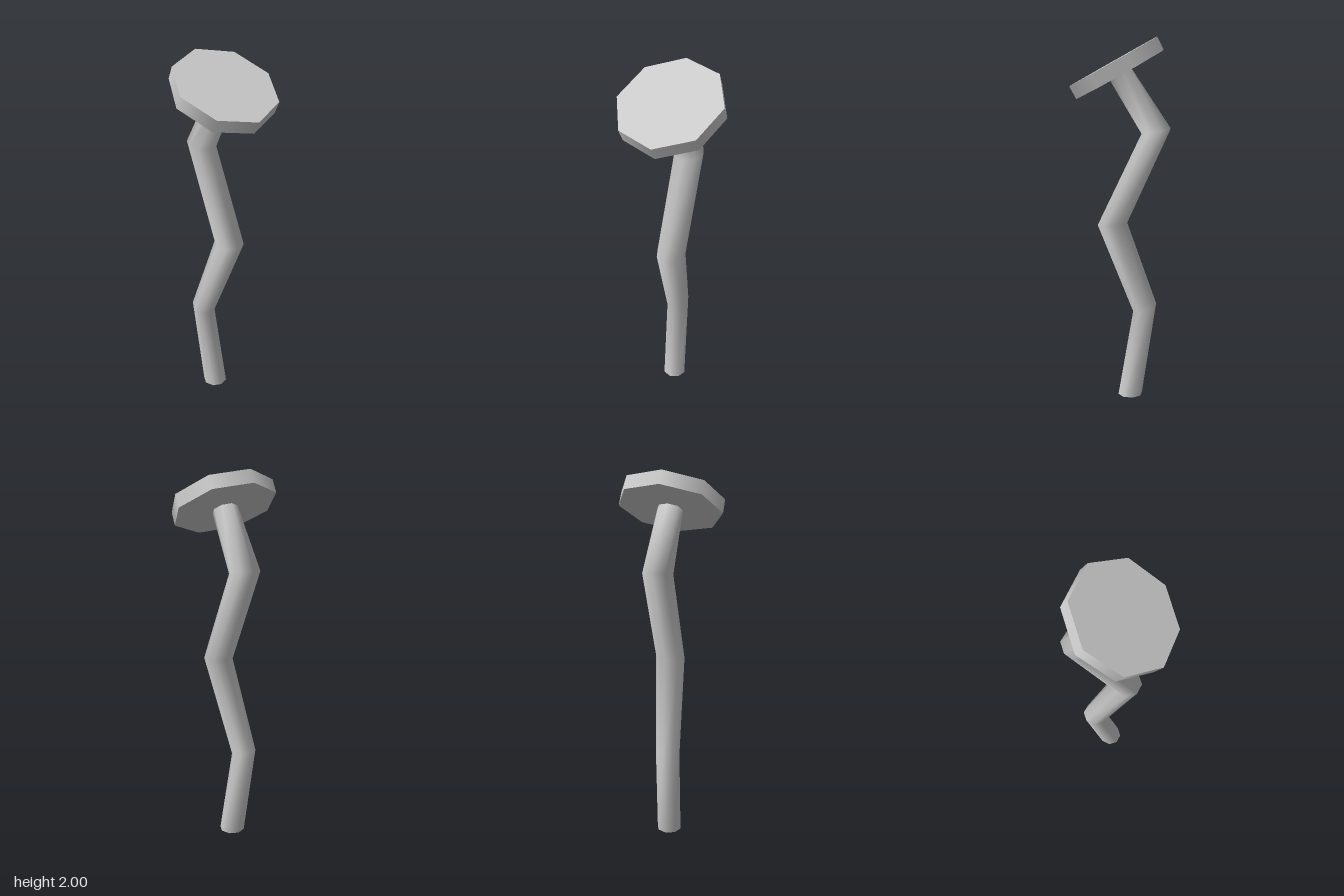
import * as THREE from 'three';

const SIDES = 8;
const material = new THREE.MeshStandardMaterial({ color: 0xcccccc });

// Axes of the tilted head: across, depth and its normal
const across = new THREE.Vector3(0.944, -0.307, -0.126).normalize();
const depth = new THREE.Vector3(0, -0.38, 0.923).normalize();
const normal = new THREE.Vector3().crossVectors(depth, across).normalize();

// Crooked shaft: eight-sided rings joined by smooth-shaded walls
function makeShaft() {
  // centre, half-width, rise of the ring towards +x, half-depth, rise towards +z
  const rings = [
    [-0.065, 0, -0.05, 0.069, 0, 0.069, 0],
    [-0.14, 0.5, -0.098, 0.066, -0.017, 0.068, -0.011],
    [0.03, 0.995, 0.008, 0.081, -0.003, 0.083, -0.003],
    [-0.15, 1.497, -0.158, 0.081, -0.01, 0.083, -0.01],
  ].map(([x, y, z, w, wy, d, dy]) => ({
    centre: new THREE.Vector3(x, y, z),
    a: new THREE.Vector3(w, wy, 0),
    b: new THREE.Vector3(0, dy, d),
  }));
  rings.push({
    centre: new THREE.Vector3(-0.013, 1.80, -0.015),
    a: across.clone().multiplyScalar(0.068),
    b: depth.clone().multiplyScalar(0.068),
  });

  const positions = [];
  const index = [];
  rings.forEach(({ centre, a, b }, r) => {
    for (let i = 0; i < SIDES; i++) {
      const t = (i / SIDES) * Math.PI * 2;
      const p = centre.clone().addScaledVector(a, Math.cos(t)).addScaledVector(b, Math.sin(t));
      positions.push(p.x, p.y, p.z);
      if (r === 0) continue;
      const j = (i + 1) % SIDES;
      const low = (r - 1) * SIDES;
      const high = r * SIDES;
      index.push(low + i, high + i, low + j, low + j, high + i, high + j);
    }
  });
  const geometry = new THREE.BufferGeometry();
  geometry.setAttribute('position', new THREE.Float32BufferAttribute(positions, 3));
  geometry.setIndex(index);
  geometry.computeVertexNormals();
  return new THREE.Mesh(geometry, material);
}

export function createModel() {
  const group = new THREE.Group();

  const shaft = makeShaft();
  shaft.name = 'bentShaft';
  group.add(shaft);

  // Flat foot closing the shaft
  const foot = new THREE.Mesh(new THREE.CircleGeometry(0.069, SIDES), material);
  foot.name = 'shaftEnd';
  foot.rotation.x = Math.PI / 2;
  foot.position.set(-0.065, 0, -0.05);
  group.add(foot);

  // Tilted octagonal head
  const head = new THREE.Mesh(new THREE.CylinderGeometry(0.277, 0.277, 0.075, SIDES), material);
  head.name = 'head';
  head.quaternion.setFromRotationMatrix(new THREE.Matrix4().makeBasis(across, normal, depth));
  head.position.set(0, 1.833, -0.002);
  group.add(head);

  return group;
}
